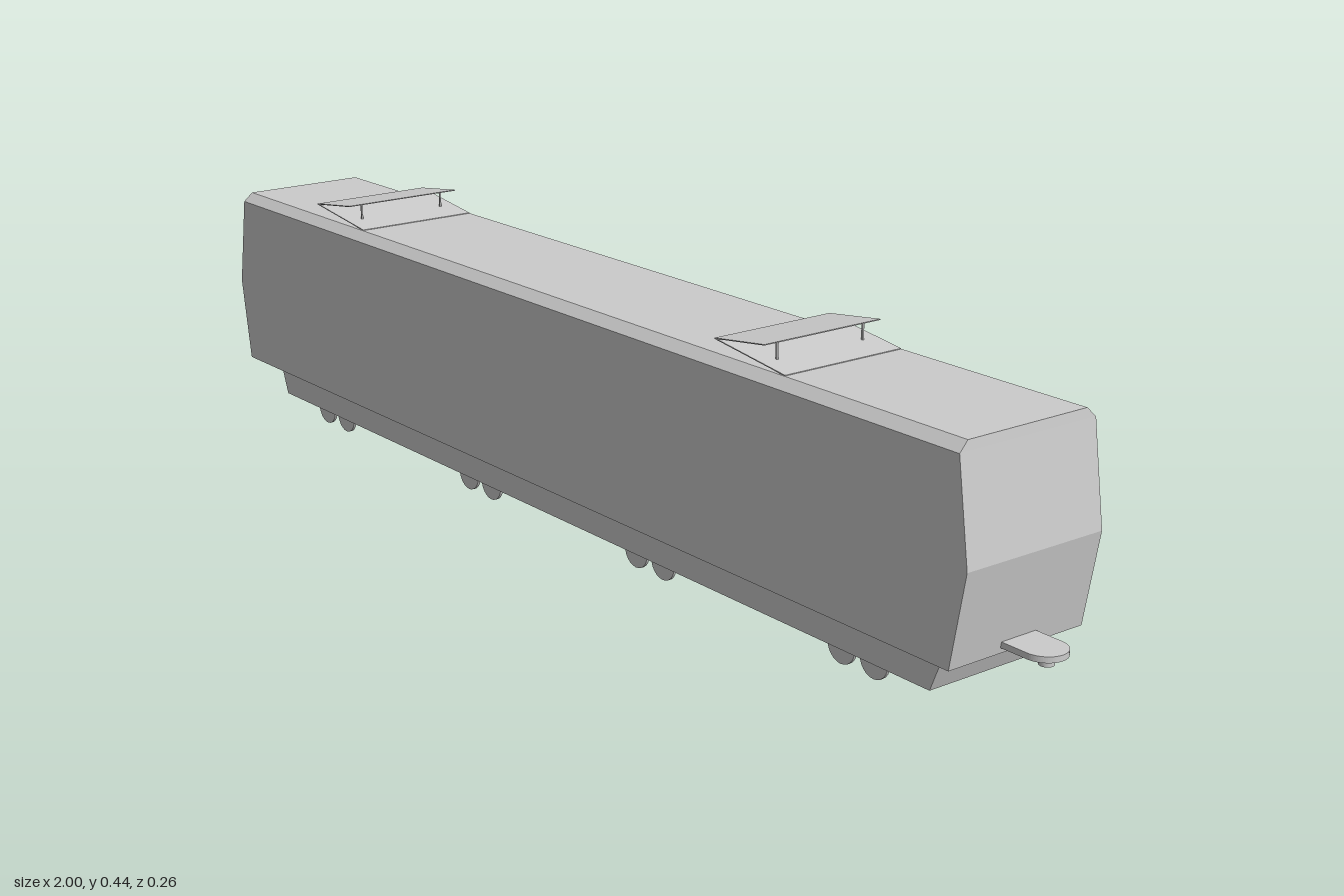
import * as THREE from 'three';

const grey = new THREE.MeshStandardMaterial({ color: 0xcccccc, flatShading: true });
const smooth = new THREE.MeshStandardMaterial({ color: 0xcccccc });

function add(parent, name, geometry, material = grey) {
  const mesh = new THREE.Mesh(geometry, material);
  mesh.name = name;
  parent.add(mesh);
  return mesh;
}

// Solid made of rectangles stacked upwards; each level is [y, half length, half width]
function stackedHull(levels) {
  const pos = [];
  const ring = ([y, hx, hz]) => [[-hx, y, hz], [hx, y, hz], [hx, y, -hz], [-hx, y, -hz]];
  const quad = (a, b, c, d) => pos.push(...a, ...b, ...c, ...a, ...c, ...d);
  for (let i = 0; i < levels.length - 1; i++) {
    const lo = ring(levels[i]), hi = ring(levels[i + 1]);
    for (let k = 0; k < 4; k++) quad(lo[k], lo[(k + 1) % 4], hi[(k + 1) % 4], hi[k]);
  }
  const [a, b, c, d] = ring(levels[0]);
  quad(d, c, b, a);
  quad(...ring(levels[levels.length - 1]));
  const g = new THREE.BufferGeometry();
  g.setAttribute('position', new THREE.Float32BufferAttribute(pos, 3));
  g.computeVertexNormals();
  return g;
}

// Flat tongue with a rounded end, pointing along +x
function couplerTongue(withHole) {
  const s = new THREE.Shape();
  s.moveTo(0.9, -0.033);
  s.lineTo(0.967, -0.033);
  s.absarc(0.967, 0, 0.033, -Math.PI / 2, Math.PI / 2, false);
  s.lineTo(0.9, 0.033);
  s.closePath();
  if (withHole) {
    const hole = new THREE.Path();
    hole.absarc(0.973, 0, 0.013, 0, Math.PI * 2, true);
    s.holes.push(hole);
  }
  const g = new THREE.ExtrudeGeometry(s, { depth: 0.009, bevelEnabled: false, curveSegments: 16 });
  return g.rotateX(-Math.PI / 2);
}

// Thin plate spanning the roof between two points of the side profile
function slopedPlate(parent, name, x1, y1, x2, y2) {
  const len = Math.hypot(x2 - x1, y2 - y1);
  const plate = add(parent, name, new THREE.BoxGeometry(len, 0.0015, 0.222));
  plate.position.set((x1 + x2) / 2, (y1 + y2) / 2, 0);
  plate.rotation.z = Math.atan2(y2 - y1, x2 - x1);
}

export function createModel() {
  const model = new THREE.Group();
  model.name = 'railCar';

  // Body with pointed ends and chamfered roof edges
  add(model, 'body', stackedHull([
    [0.09, 0.918, 0.128], [0.235, 0.943, 0.128], [0.39, 0.92, 0.128], [0.405, 0.918, 0.112],
  ]));
  add(model, 'underframe', stackedHull([[0.028, 0.85, 0.091], [0.091, 0.875, 0.091]]));

  // Four wheel pairs per side
  const wheels = new THREE.Group();
  wheels.name = 'wheels';
  model.add(wheels);
  const wheelGeo = new THREE.CylinderGeometry(0.028, 0.028, 0.005, 24).rotateX(Math.PI / 2);
  for (const bogieX of [-0.692, -0.228, 0.232, 0.698])
    for (const dx of [-0.033, 0.033])
      for (const z of [-0.078, 0.078])
        add(wheels, 'wheel', wheelGeo, smooth).position.set(bogieX + dx, 0.028, z);

  // Couplers: pin at one end, eye at the other
  add(model, 'pinCoupler', couplerTongue(false), smooth).position.y = 0.099;
  add(model, 'couplerPin', new THREE.CylinderGeometry(0.011, 0.011, 0.016, 20), smooth)
    .position.set(0.972, 0.093, 0);
  const eye = add(model, 'eyeCoupler', couplerTongue(true), smooth);
  eye.position.y = 0.091;
  eye.rotation.y = Math.PI;

  // Pantographs: folded plates held up by two struts
  for (const x of [-0.682, 0.416]) {
    const pantograph = new THREE.Group();
    pantograph.name = 'pantograph';
    pantograph.position.x = x;
    slopedPlate(pantograph, 'lowerPlate', 0, 0.425, 0.152, 0.4055);
    slopedPlate(pantograph, 'upperPlate', 0, 0.425, 0.108, 0.4395);
    for (const z of [-0.082, 0.082])
      add(pantograph, 'strut', new THREE.BoxGeometry(0.003, 0.028, 0.003)).position.set(0.102, 0.4245, z);
    model.add(pantograph);
  }
  return model;
}
